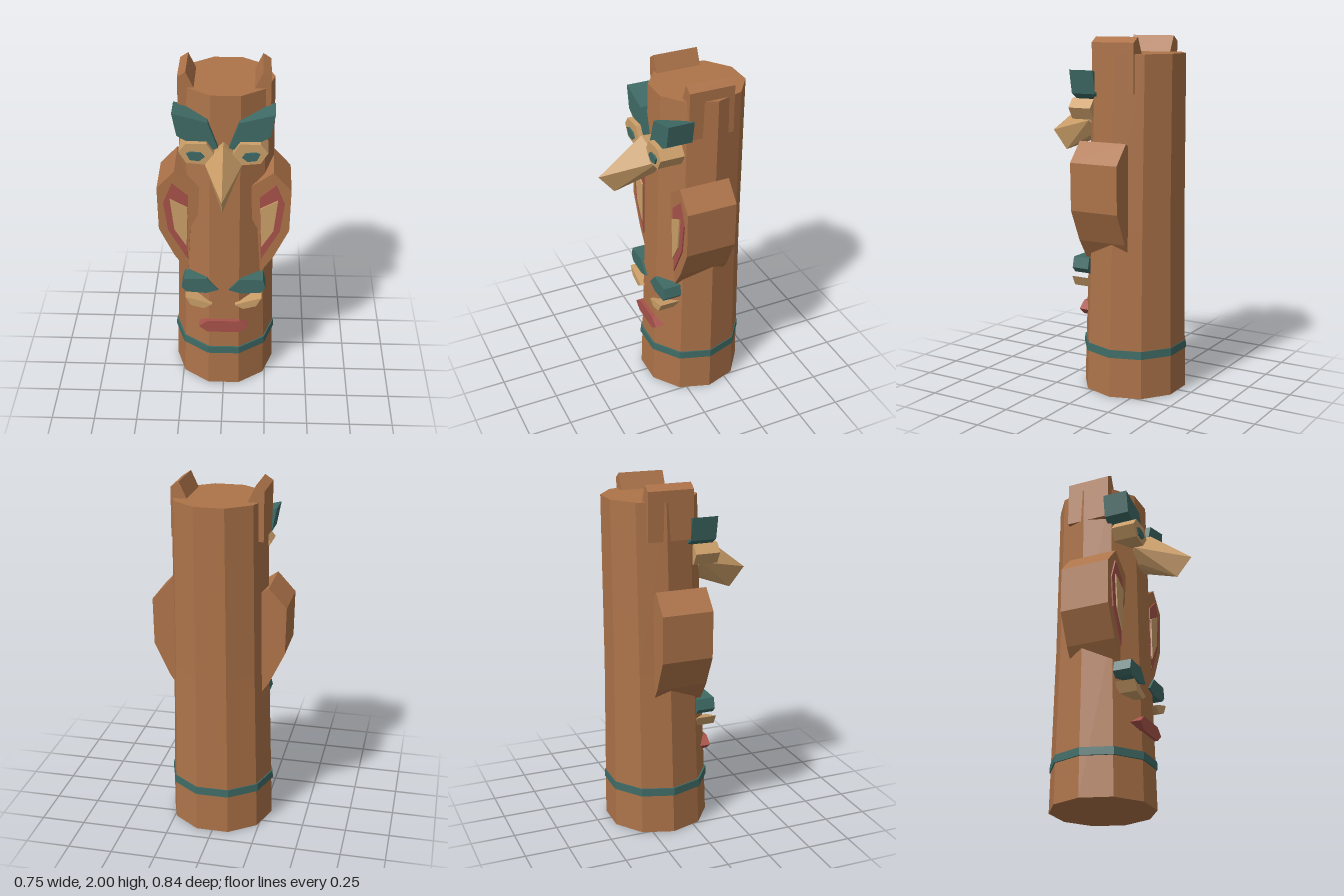
import * as THREE from 'three';
import { ConvexGeometry } from 'three/addons/geometries/ConvexGeometry.js';

const material = (name, color) => {
  const m = new THREE.MeshStandardMaterial({ color });
  m.name = name;
  return m;
};

export function createModel() {
  const group = new THREE.Group();
  const wood = material('brown wood', 0xad7349);
  const teal = material('teal paint', 0x3f6b66);
  const tan = material('tan paint', 0xcc9f69);
  const red = material('red paint', 0xa8524a);

  const add = (name, geometry, mat) => {
    const flat = geometry.index ? geometry.toNonIndexed() : geometry;
    flat.computeVertexNormals();
    const mesh = new THREE.Mesh(flat, mat);
    mesh.name = name;
    group.add(mesh);
  };

  // Flat outline in x/y, extruded from z0 to z1
  const slab = (name, points, z0, z1, mat) => {
    const shape = new THREE.Shape(points.map(([x, y]) => new THREE.Vector2(x, y)));
    const geometry = new THREE.ExtrudeGeometry(shape, { depth: z1 - z0, bevelEnabled: false });
    add(name, geometry.translate(0, 0, z0), mat);
  };
  const pair = (name, points, z0, z1, mat) => {
    slab('left' + name, points, z0, z1, mat);
    slab('right' + name, points.map(([x, y]) => [-x, y]).reverse(), z0, z1, mat);
  };

  // Ten-sided trunk: tapers upward and leans slightly back
  const rings = [[0, -0.133, 0.297], [0.005, -0.143, 0.275], [0.01, -0.157, 0.263]];
  const trunk = new THREE.CylinderGeometry(1, 1, 2, 10, 2).rotateY(Math.PI / 10);
  const pos = trunk.attributes.position;
  for (let i = 0; i < pos.count; i++) {
    const level = Math.round(pos.getY(i)) + 1;
    const [cx, cz, r] = rings[level];
    pos.setXYZ(i, cx + pos.getX(i) * r, level * 0.955, cz + pos.getZ(i) * r);
  }
  add('trunk', trunk, wood);

  // Painted ring near the foot
  const band = new THREE.CylinderGeometry(0.298, 0.3, 0.045, 10).rotateY(Math.PI / 10);
  add('band', band.translate(0, 0.2525, -0.133), teal);

  // Ear tufts on the crown
  pair('EarTuft', [[0.25, 1.7], [0.25, 1.97], [0.205, 2], [0.163, 1.91], [0.2, 1.89], [0.2, 1.7]],
    -0.26, 0, wood);

  // Upper bird face
  pair('UpperBrow', [[0.275, 1.82], [0.085, 1.77], [0.03, 1.62], [0.06, 1.61], [0.2, 1.66], [0.25, 1.69]],
    -0.018, 0.13, teal);
  pair('UpperEye', [[0.24, 1.61], [0.2, 1.66], [0.09, 1.66], [0.05, 1.6], [0.1, 1.535], [0.2, 1.545]],
    0.02, 0.16, tan);
  pair('Pupil', [[0.197, 1.605], [0.175, 1.615], [0.12, 1.61], [0.1, 1.585], [0.13, 1.56], [0.18, 1.567]],
    0.16, 0.169, teal);

  // Hooked beak
  const beak = [
    [0, 1.65, 0.165], [0, 1.64, 0.05], [0, 1.45, 0.42], [0, 1.34, 0.33],
    [0.11, 1.53, 0.11], [-0.11, 1.53, 0.11], [0.055, 1.44, 0.13], [-0.055, 1.44, 0.13],
    [0.05, 1.45, 0.05], [-0.05, 1.45, 0.05],
  ].map((p) => new THREE.Vector3(...p));
  add('beak', new ConvexGeometry(beak), tan);

  // Folded wings with painted panels
  pair('Wing', [[0.375, 1.325], [0.275, 1.435], [0.127, 1.33], [0.122, 1.21], [0.19, 1.07],
    [0.21, 0.77], [0.285, 0.88], [0.37, 1.06]], -0.228, 0.064, wood);
  pair('WingPanel', [[0.34, 1.235], [0.29, 1.36], [0.2, 1.28], [0.212, 0.865], [0.317, 1.06]],
    0.064, 0.072, red);
  pair('WingInset', [[0.302, 1.265], [0.203, 1.21], [0.213, 0.955], [0.28, 1.065]],
    0.072, 0.08, tan);

  // Lower face
  pair('LowerBrow', [[0.243, 0.705], [0.228, 0.765], [0.095, 0.765], [0.03, 0.69], [0.1, 0.667], [0.215, 0.675]],
    0.036, 0.138, teal);
  pair('LowerEye', [[0.222, 0.648], [0.13, 0.62], [0.068, 0.597], [0.115, 0.568], [0.19, 0.59]],
    0.04, 0.155, tan);
  slab('mouth', [[-0.145, 0.435], [-0.095, 0.475], [0.095, 0.475], [0.145, 0.435], [0.095, 0.395], [-0.095, 0.395]],
    0.08, 0.155, red);

  return group;
}
